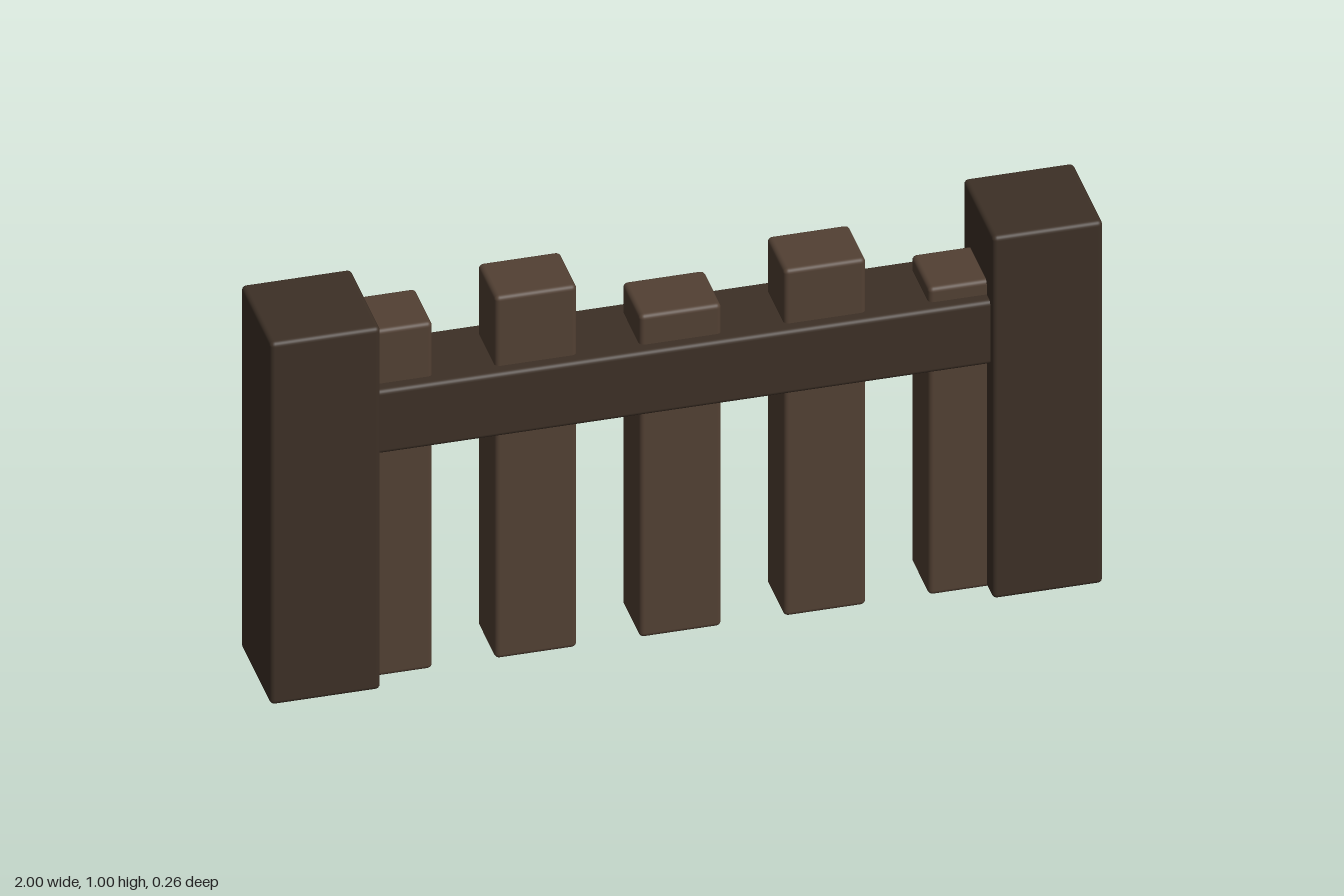
import * as THREE from 'three';
import { RoundedBoxGeometry } from 'three/addons/geometries/RoundedBoxGeometry.js';

export function createModel() {
  const group = new THREE.Group();
  const darkWood = new THREE.MeshStandardMaterial({ color: 0x3d3026 });
  const lightWood = new THREE.MeshStandardMaterial({ color: 0x524033 });

  // Softly rounded timber standing on height y0
  function timber(name, w, h, d, x, y0, material) {
    const mesh = new THREE.Mesh(new RoundedBoxGeometry(w, h, d, 3, 0.012), material);
    mesh.name = name;
    mesh.position.set(x, y0 + h / 2, 0);
    group.add(mesh);
  }

  // End posts
  timber('leftPost', 0.265, 1, 0.265, 0.8675, 0, darkWood);
  timber('rightPost', 0.265, 1, 0.265, -0.8675, 0, darkWood);

  // Cross rail, its ends let into the posts
  timber('rail', 1.52, 0.175, 0.22, 0, 0.635, darkWood);

  // Uneven pickets passing through the rail
  [0.957, 1, 0.89, 0.957, 0.848].forEach((height, i) => {
    timber(`picket${i + 1}`, 0.197, height, 0.156, (i - 2) * 0.347, 0, lightWood);
  });

  return group;
}
